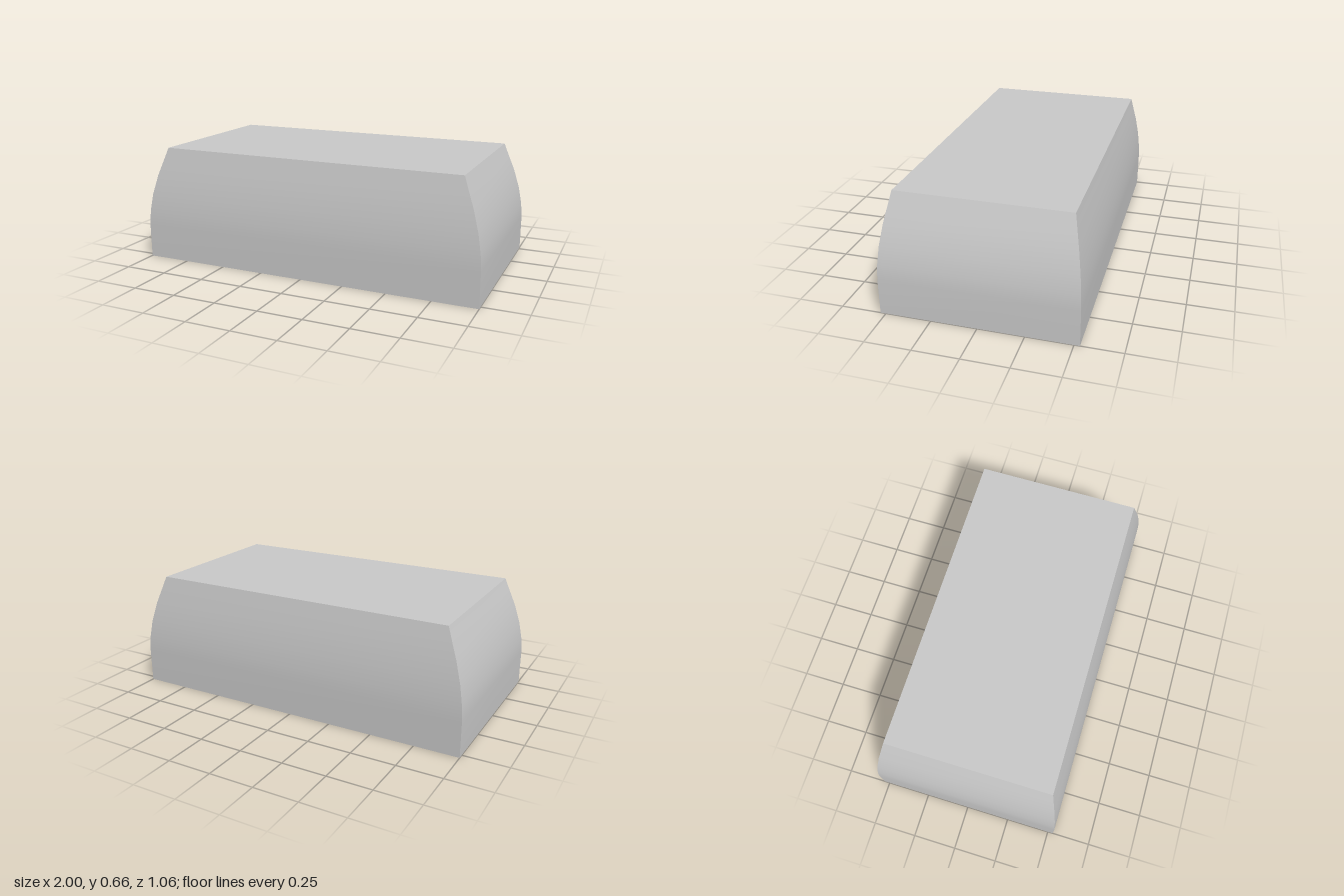
import * as THREE from 'three';

// Side profile: [height, scale of the footprint at that height]
const PROFILE = [
  [0, 1], [0.2, 1], [0.285, 0.993], [0.385, 0.975],
  [0.5, 0.942], [0.595, 0.906], [0.66, 0.882],
];

export function createModel() {
  const group = new THREE.Group();
  group.name = 'taperedBlock';

  // Box whose rows follow the profile; each face keeps its own smooth normals
  const rows = PROFILE.length - 1;
  const geometry = new THREE.BoxGeometry(2, rows, 1.06, 1, rows, 1);
  const pos = geometry.attributes.position;
  for (let i = 0; i < pos.count; i++) {
    const [y, s] = PROFILE[Math.round(pos.getY(i) + rows / 2)];
    pos.setXYZ(i, pos.getX(i) * s, y, pos.getZ(i) * s);
  }
  geometry.computeVertexNormals();

  const body = new THREE.Mesh(geometry, new THREE.MeshStandardMaterial({ color: 0xcccccc }));
  body.name = 'body';
  group.add(body);
  return group;
}
